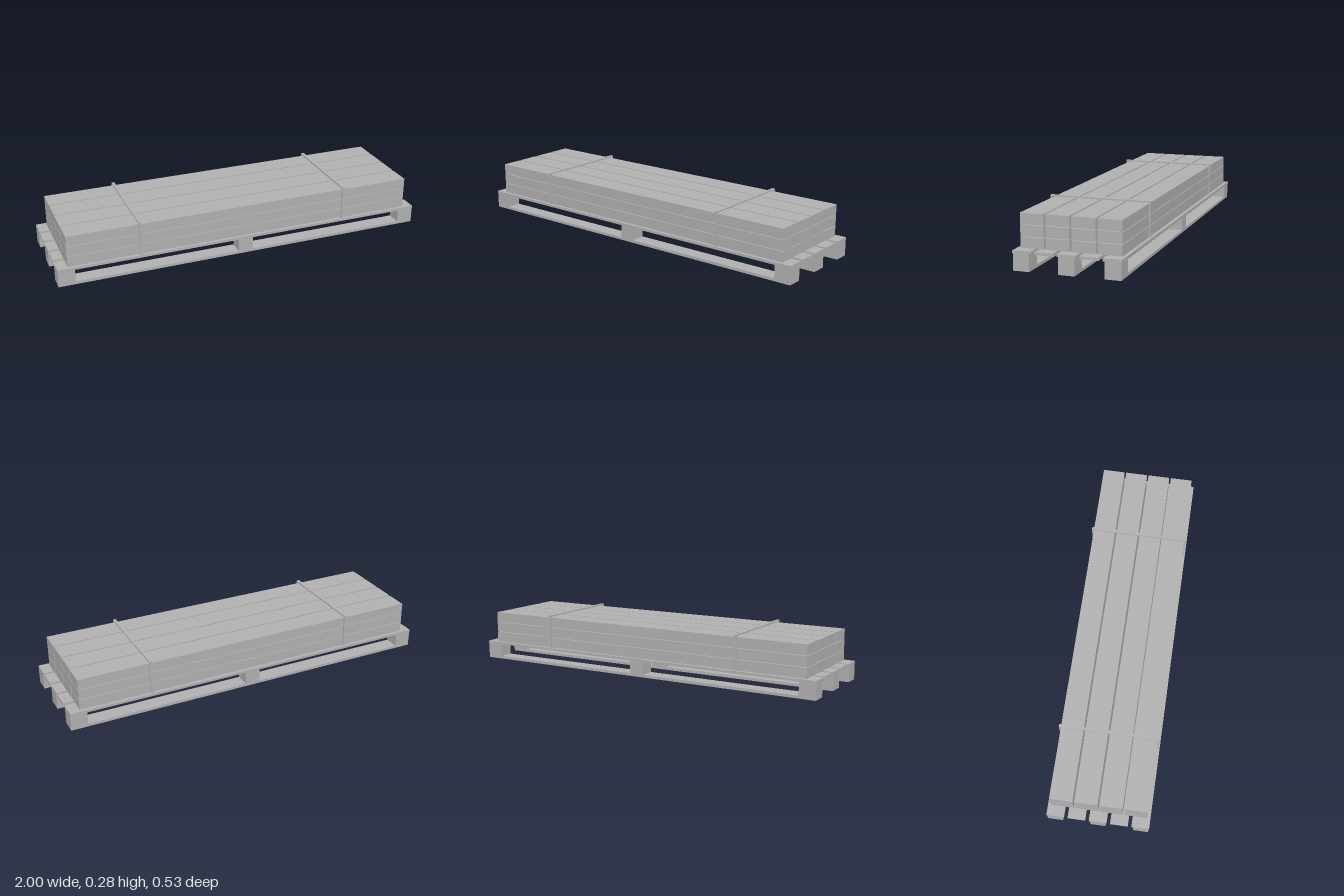
import * as THREE from 'three';

export function createModel() {
  const model = new THREE.Group();
  const grey = new THREE.MeshStandardMaterial({ color: 0xb0b0b0 });
  grey.name = 'plain grey';

  // Box given by its lower and upper corner on each axis
  function box(parent, name, [x0, x1], [y0, y1], [z0, z1]) {
    const mesh = new THREE.Mesh(new THREE.BoxGeometry(x1 - x0, y1 - y0, z1 - z0), grey);
    mesh.position.set((x0 + x1) / 2, (y0 + y1) / 2, (z0 + z1) / 2);
    mesh.name = name;
    parent.add(mesh);
  }
  const span = (centre, size) => [centre - size / 2, centre + size / 2];
  function group(name) {
    const g = new THREE.Group();
    g.name = name;
    model.add(g);
    return g;
  }

  // Pallet: three runners with blocks, and five deck boards along the length
  const pallet = group('pallet');
  for (const z of [-0.224, 0, 0.224]) {
    box(pallet, 'runner', [-1, 1], [0, 0.0145], span(z, 0.08));
    box(pallet, 'leftBlock', [0.912, 1], [0.0145, 0.083], span(z, 0.08));
    box(pallet, 'middleBlock', [-0.04, 0.04], [0.0145, 0.083], span(z, 0.08));
    box(pallet, 'rightBlock', [-1, -0.912], [0.0145, 0.083], span(z, 0.08));
  }
  for (let i = -2; i <= 2; i++) {
    box(pallet, 'deckBoard', [-1, 1], [0.083, 0.0965], span(i * 0.1105, 0.092));
  }

  // Stack of beams: three layers of four
  const stack = group('beamStack');
  for (let row = 0; row < 3; row++) {
    const y = 0.097 + row * 0.0565;
    for (let col = 0; col < 4; col++) {
      box(stack, 'beam', [-0.945, 0.945], [y, y + 0.0535], span((col - 1.5) * 0.1273, 0.1183));
    }
  }

  // Two straps holding the stack down
  for (const x of [-0.567, 0.567]) {
    const strap = group('strap');
    const width = span(x, 0.016);
    box(strap, 'strapTop', width, [0.269, 0.2765], [-0.26, 0.26]);
    box(strap, 'strapFront', width, [0.0965, 0.269], [0.253, 0.26]);
    box(strap, 'strapBack', width, [0.0965, 0.269], [-0.26, -0.253]);
  }
  return model;
}
